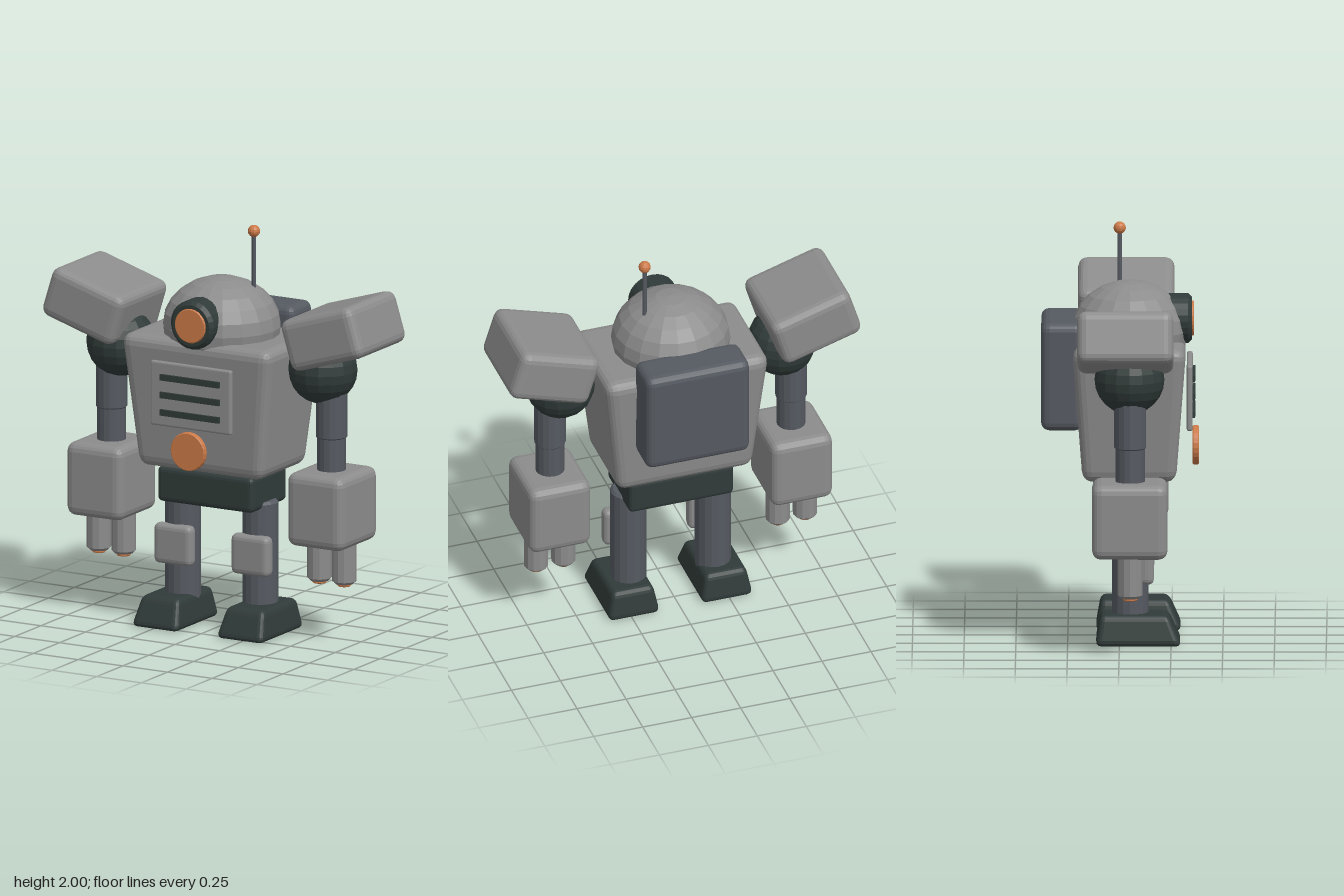
import * as THREE from 'three';
import { RoundedBoxGeometry } from 'three/addons/geometries/RoundedBoxGeometry.js';

const mat = (name, color) => {
  const m = new THREE.MeshStandardMaterial({ color });
  m.name = name;
  return m;
};

export function createModel() {
  const grey = mat('armour grey', 0x8c8c8c);
  const dark = mat('joint dark green', 0x303b39);
  const steel = mat('limb steel', 0x555a61);
  const orange = mat('light orange', 0xcc7a48);

  const model = new THREE.Group();
  model.name = 'robot';

  // Faceted normals for the low-poly look
  const faceted = (g) => {
    const out = g.index ? g.toNonIndexed() : g;
    out.computeVertexNormals();
    return out;
  };

  const add = (parent, name, geometry, material, x, y, z) => {
    const mesh = new THREE.Mesh(faceted(geometry), material);
    mesh.name = name;
    mesh.position.set(x, y, z);
    parent.add(mesh);
    return mesh;
  };

  const box = (w, h, d, r) => new RoundedBoxGeometry(w, h, d, 2, r);

  // Scales x and z linearly from the bottom to the top of a box
  const taper = (g, h, bottom, top, shiftZ = 0) => {
    const p = g.attributes.position;
    for (let i = 0; i < p.count; i++) {
      const t = p.getY(i) / h + 0.5;
      const s = bottom + (top - bottom) * t;
      p.setXYZ(i, p.getX(i) * s, p.getY(i), p.getZ(i) * s + shiftZ * t);
    }
    return g;
  };

  // Upright cylinder with chamfered rims, centred on its middle
  const rod = (r, h, c, sides = 16) => new THREE.LatheGeometry([
    [0, -h / 2], [r - c, -h / 2], [r, -h / 2 + c],
    [r, h / 2 - c], [r - c, h / 2], [0, h / 2],
  ].map(([x, y]) => new THREE.Vector2(x, y)), sides);

  const disc = (r, h, c) => rod(r, h, c, 24).rotateX(Math.PI / 2);

  // Torso, pelvis and backpack
  add(model, 'torso', taper(box(0.84, 0.66, 0.55, 0.055), 0.66, 0.82, 1), grey, 0, 1.13, 0.048);
  add(model, 'pelvis', box(0.535, 0.175, 0.34, 0.025), dark, 0, 0.708, 0.05);
  add(model, 'backpack', box(0.53, 0.525, 0.205, 0.04), steel, 0, 1.302, -0.276);

  // Chest panel with vents and a round light below
  add(model, 'chestPanel', box(0.45, 0.32, 0.028, 0.01), grey, 0, 1.195, 0.339);
  for (const y of [1.28, 1.192, 1.105]) {
    add(model, 'vent', new THREE.BoxGeometry(0.33, 0.03, 0.02), dark, 0, y, 0.356);
  }
  add(model, 'bellyLight', disc(0.095, 0.03, 0.004), orange, 0, 0.932, 0.368);

  // Head dome and eye
  const dome = new THREE.SphereGeometry(0.29, 18, 12).scale(1, 0.83, 0.97);
  add(model, 'head', dome, grey, 0, 1.497, 0.05);
  add(model, 'eyeRing', disc(0.121, 0.15, 0.018), dark, 0, 1.553, 0.275);
  add(model, 'eyeLens', disc(0.085, 0.02, 0.004), orange, 0, 1.553, 0.35);

  // Antenna
  add(model, 'antennaRod', new THREE.CylinderGeometry(0.011, 0.011, 0.33, 8), steel, 0.15, 1.795, 0);
  add(model, 'antennaTip', new THREE.SphereGeometry(0.03, 12, 8), orange, 0.15, 1.97, 0);

  for (const s of [1, -1]) {
    const side = s > 0 ? 'left' : 'right';

    // Arm
    const arm = new THREE.Group();
    arm.name = side + 'Arm';
    model.add(arm);
    add(arm, 'shoulderBall', new THREE.SphereGeometry(0.169, 16, 12), dark, s * 0.565, 1.345, 0.05);
    const pad = add(arm, 'shoulderPad', box(0.42, 0.258, 0.466, 0.045), grey, s * 0.667, 1.543, 0.03);
    pad.rotation.z = s * 0.3;
    add(arm, 'upperArm', rod(0.077, 0.28, 0.008), steel, s * 0.615, 1.152, 0.053);
    add(arm, 'forearm', rod(0.071, 0.24, 0.006), steel, s * 0.615, 0.92, 0.053);
    add(arm, 'handBlock', box(0.315, 0.365, 0.365, 0.045), grey, s * 0.617, 0.672, 0.052);
    for (const x of [0.547, 0.686]) {
      add(arm, 'finger', rod(0.06, 0.22, 0.014, 12), grey, s * x, 0.405, 0.053);
      add(arm, 'fingerTip', rod(0.035, 0.03, 0.004, 12), orange, s * x, 0.297, 0.053);
    }

    // Leg
    const leg = new THREE.Group();
    leg.name = side + 'Leg';
    model.add(leg);
    add(leg, 'legColumn', rod(0.088, 0.56, 0.012), steel, s * 0.216, 0.376, 0.052);
    add(leg, 'kneePad', box(0.21, 0.2, 0.07, 0.028), grey, s * 0.216, 0.395, 0.132);
    add(leg, 'foot', taper(box(0.265, 0.15, 0.42, 0.03), 0.15, 1, 0.78, -0.02), dark, s * 0.237, 0.075, 0.093);
  }

  return model;
}
